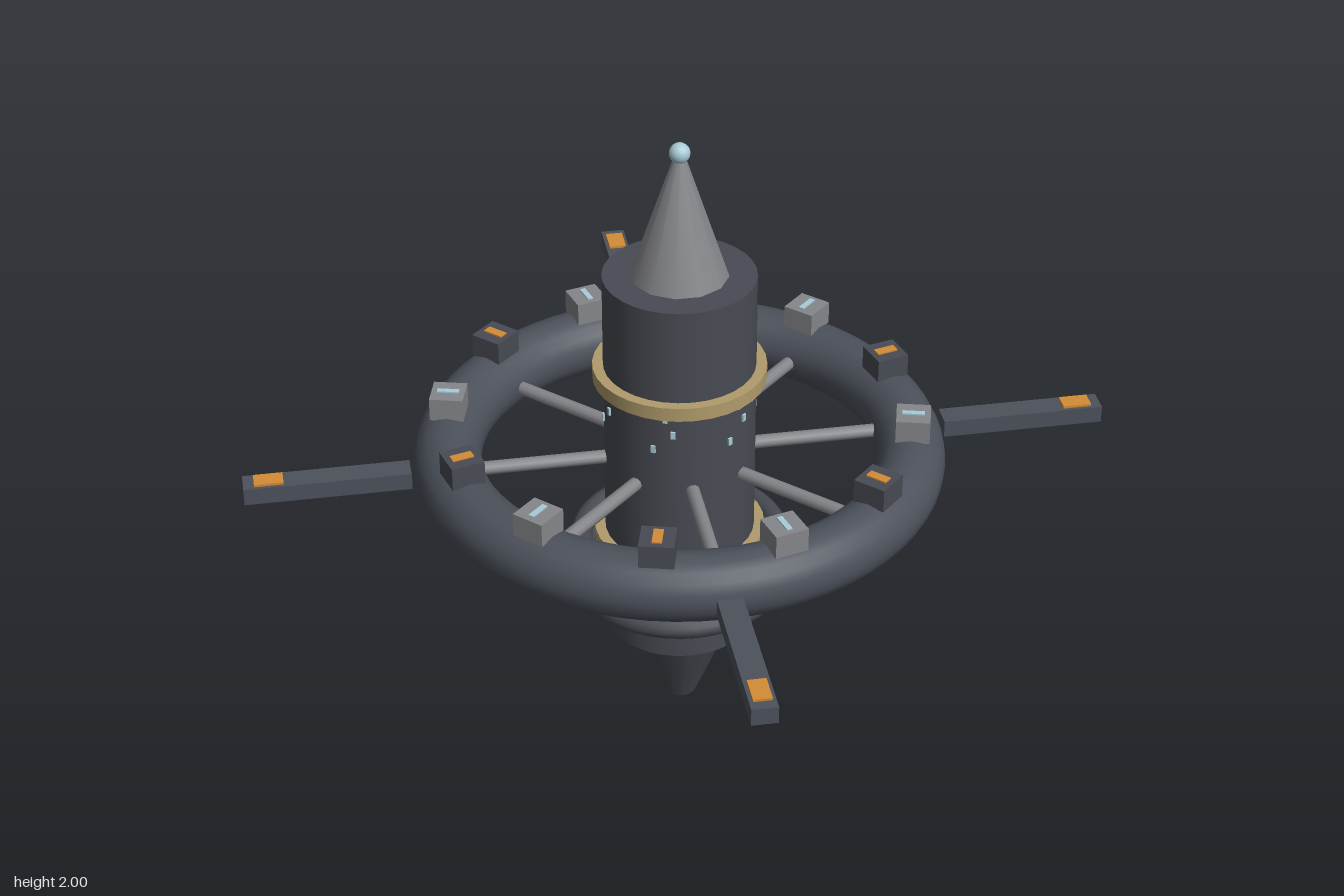
import * as THREE from 'three';

const mat = (name, color, extra = {}) => {
  const m = new THREE.MeshStandardMaterial({ color, ...extra });
  m.name = name;
  return m;
};

export function createModel() {
  const root = new THREE.Group();
  root.name = 'spaceStation';

  const hull = mat('hull dark grey', 0x484b53);
  const ringMat = mat('ring slate grey', 0x4c515b);
  const grey = mat('light grey', 0x85868a);
  const gold = mat('dull gold', 0xb09b6b);
  const orange = mat('orange lamp', 0xd48c36);
  const blue = mat('pale blue light', 0xa9ccd8);

  const add = (name, geo, material, parent = root, x = 0, y = 0, z = 0) => {
    const m = new THREE.Mesh(geo, material);
    m.name = name;
    m.position.set(x, y, z);
    parent.add(m);
    return m;
  };
  // cylinder or cone between two heights
  const column = (name, rTop, rBottom, y0, y1, sides, material) =>
    add(name, new THREE.CylinderGeometry(rTop, rBottom, y1 - y0, sides), material, root, 0, (y0 + y1) / 2, 0);
  // horizontal torus
  const hoop = (name, radius, tube, y, material, sides, segs) =>
    add(name, new THREE.TorusGeometry(radius, tube, sides, segs).rotateX(Math.PI / 2), material, root, 0, y, 0);
  // group whose local +x points outwards at the given angle
  const spoke = (name, angle) => {
    const g = new THREE.Group();
    g.name = name;
    g.rotation.y = angle;
    root.add(g);
    return g;
  };

  // central column
  column('engineCone', 0.175, 0.055, 0, 0.3, 16, hull);
  column('coreBody', 0.235, 0.235, 0.3, 1.56, 32, hull);
  column('noseCone', 0.018, 0.15, 1.56, 1.955, 12, grey);
  add('beacon', new THREE.SphereGeometry(0.032, 16, 12), blue, root, 0, 1.968, 0);
  column('upperBand', 0.268, 0.268, 1.205, 1.25, 32, gold);
  column('lowerBand', 0.268, 0.268, 0.615, 0.66, 32, gold);

  // three stacked coils
  for (const y of [0.47, 0.537, 0.605]) hoop('coil', 0.312, 0.035, y, hull, 12, 40);

  // main habitat ring and its spokes
  hoop('habitatRing', 0.72, 0.105, 0.93, ringMat, 20, 64);
  const spokeGeo = new THREE.CylinderGeometry(0.022, 0.022, 0.45, 10).rotateZ(Math.PI / 2);
  for (let i = 0; i < 8; i++) {
    add('spoke', spokeGeo, grey, spoke('spokeMount', i * Math.PI / 4), 0.42, 0.93, 0);
  }

  // twelve modules on the ring, alternating dark and light
  const moduleGeo = new THREE.BoxGeometry(0.105, 0.075, 0.105);
  for (let i = 0; i < 12; i++) {
    const dark = i % 2 === 0;
    const g = spoke('ringModule', i * Math.PI / 6);
    add('moduleBox', moduleGeo, dark ? hull : grey, g, 0.72, 1.065, 0);
    add('moduleLight', new THREE.BoxGeometry(0.068, 0.006, dark ? 0.03 : 0.018),
      dark ? orange : blue, g, 0.72, 1.104, 0);
  }

  // four diagonal docking arms with lamps
  for (let i = 0; i < 4; i++) {
    const g = spoke('dockingArm', Math.PI / 4 + i * Math.PI / 2);
    add('armBeam', new THREE.BoxGeometry(0.512, 0.055, 0.078), ringMat, g, 1.094, 0.933, 0);
    add('armLamp', new THREE.BoxGeometry(0.09, 0.009, 0.056), orange, g, 1.272, 0.964, 0);
  }

  // three staggered rows of small windows on the core
  const windowGeo = new THREE.BoxGeometry(0.009, 0.024, 0.014);
  [[1.078, -0.78], [1.135, -0.52], [1.19, -0.62]].forEach(([y, start]) => {
    for (let i = 0; i < 6; i++) {
      const g = spoke('windowMount', start + i * Math.PI / 3 - Math.PI / 2);
      add('window', windowGeo, blue, g, 0.236, y, 0);
    }
  });

  return root;
}
